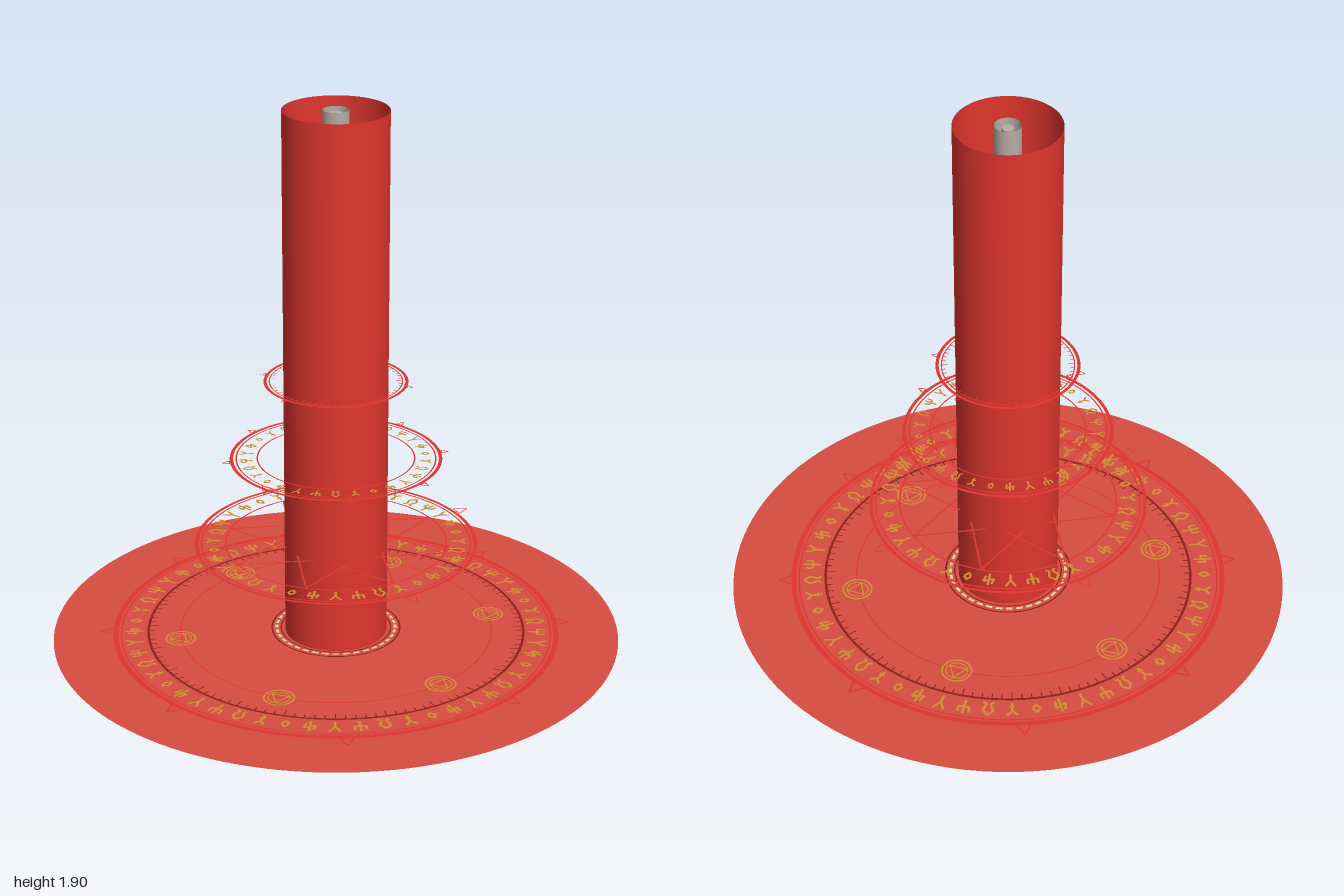
import * as THREE from 'three';
import { mergeGeometries } from 'three/addons/utils/BufferGeometryUtils.js';

const TAU = Math.PI * 2;
const mat = (name, color) => {
  const m = new THREE.MeshStandardMaterial({ color, side: THREE.DoubleSide });
  m.name = name;
  return m;
};

// Flat pieces are drawn in the XY plane and laid down at the end
const ring = (outer, width, cx = 0, cy = 0, seg = 96) =>
  new THREE.RingGeometry(outer - width, outer, seg).translate(cx, cy, 0);

const bar = (x1, y1, x2, y2, w) =>
  new THREE.PlaneGeometry(Math.hypot(x2 - x1, y2 - y1), w)
    .rotateZ(Math.atan2(y2 - y1, x2 - x1))
    .translate((x1 + x2) / 2, (y1 + y2) / 2, 0);

// Outlined polygon, or star when step > 1
function star(n, r, w, step = 1, rot = 0, cx = 0, cy = 0) {
  const p = (i) => [cx + r * Math.cos(rot + i * TAU / n), cy + r * Math.sin(rot + i * TAU / n)];
  return Array.from({ length: n }, (_, i) => bar(...p(i), ...p(i + step), w));
}

// Repeats pieces that point along +y around the centre
function around(n, r, make, offset = 0) {
  const out = [];
  for (let i = 0; i < n; i++) {
    const a = offset + i * TAU / n;
    for (const g of make(i)) out.push(g.translate(0, r, 0).rotateZ(a - Math.PI / 2));
  }
  return out;
}

const ticks = (n, r, len, w) => around(n, r, (i) => [bar(0, 0, 0, i % 5 ? -len : -len * 1.6, w)]);
const spikes = (n, r, h, w, offset) => around(n, r, () =>
  [bar(-h / 2, 0, 0, h, w), bar(h / 2, 0, 0, h, w), bar(-h / 2, 0, h / 2, 0, w)], offset);

// Six simple glyphs made of strokes inside a unit square
const strokes = [
  [[0, -.5, 0, 0], [0, 0, -.3, .5], [0, 0, .3, .5]],
  [[0, -.5, 0, .5], [-.3, .4, -.3, 0], [.3, .4, .3, 0], [-.3, 0, .3, 0]],
  [[-.3, -.5, -.1, -.4], [.3, -.5, .1, -.4], [-.1, -.4, -.28, .1], [.1, -.4, .28, .1], [-.28, .1, 0, .45], [.28, .1, 0, .45]],
  [[0, -.5, 0, .1], [0, .1, -.3, .4], [0, .1, .3, .4], [-.15, -.25, .15, -.25]],
  [[0, -.3, .2, 0], [.2, 0, 0, .3], [0, .3, -.2, 0], [-.2, 0, 0, -.3]],
  [[0, -.5, 0, .5], [-.3, -.1, .3, .2], [-.3, -.1, -.2, .35], [.3, .2, .2, -.3]],
];
const runes = (n, r, h) => around(n, r, (i) =>
  strokes[i % 6].map(([a, b, c, d]) => bar(a * h, b * h, c * h, d * h, h * 0.14)));

function plate(name, pieces, material, y) {
  const mesh = new THREE.Mesh(mergeGeometries(pieces).rotateX(-Math.PI / 2), material);
  mesh.name = name;
  mesh.position.y = y;
  return mesh;
}

function tube(name, r, h, material, open = true) {
  const mesh = new THREE.Mesh(new THREE.CylinderGeometry(r, r, h, 64, 1, open), material);
  mesh.name = name;
  mesh.position.y = h / 2;
  return mesh;
}

export function createModel() {
  const red = mat('red', 0xdf352d);
  const discRed = mat('softRed', 0xd84c42);
  const gold = mat('gold', 0xcf8a30);
  const cream = mat('cream', 0xe6d8a0);
  const grey = mat('grey', 0xb5aca4);
  const darkRed = mat('darkRed', 0x8a1f1a);

  const model = new THREE.Group();
  model.name = 'magicCircle';

  // Ground disc
  model.add(plate('groundDisc', [new THREE.CircleGeometry(1, 128)], discRed, 0));

  // Ground markings
  const ground = new THREE.Group();
  ground.name = 'groundMarkings';
  ground.add(
    plate('groundRings', [
      ring(0.79, 0.018), ring(0.765, 0.006), ring(0.555, 0.005),
      ...spikes(8, 0.785, 0.05, 0.007, 0.31),
    ], red, 0.003),
    plate('scaleRing', [ring(0.67, 0.009), ...ticks(120, 0.662, 0.02, 0.004)], darkRed, 0.004),
    plate('groundRunes', runes(54, 0.715, 0.065), gold, 0.004),
    plate('innerDashes', around(36, 0.21, () => [bar(-0.012, 0, 0.012, 0, 0.01)]), cream, 0.004),
    plate('innerRing', [ring(0.23, 0.006), ring(0.197, 0.005)], darkRed, 0.003),
  );

  // Six small medallions
  const medals = [];
  for (let i = 0; i < 6; i++) {
    const a = -0.349 + i * TAU / 6;
    const x = 0.555 * Math.cos(a), y = 0.555 * Math.sin(a);
    medals.push(ring(0.055, 0.007, x, y, 40), ring(0.04, 0.005, x, y, 40),
      ...star(3, 0.035, 0.005, 1, a, x, y));
  }
  ground.add(plate('medallions', medals, gold, 0.005));
  model.add(ground);

  // Floating rings, from large to small
  const lower = new THREE.Group();
  lower.name = 'lowerFloatingRing';
  lower.add(
    plate('lowerBands', [
      ring(0.495, 0.012), ring(0.475, 0.006), ring(0.39, 0.006),
      ...spikes(4, 0.5, 0.045, 0.004, 0),
      ...star(8, 0.385, 0.006, 3),
    ], red, 0.34),
    plate('lowerRunes', runes(36, 0.43, 0.06), gold, 0.34),
  );

  const middle = new THREE.Group();
  middle.name = 'middleFloatingRing';
  middle.add(
    plate('middleBands', [
      ring(0.368, 0.012), ring(0.348, 0.005), ring(0.275, 0.005),
      ...spikes(8, 0.37, 0.025, 0.004, TAU / 16),
    ], red, 0.66),
    plate('middleRunes', runes(30, 0.312, 0.045), gold, 0.66),
  );

  const upper = new THREE.Group();
  upper.name = 'upperFloatingRing';
  upper.add(plate('upperBands', [
    ring(0.248, 0.011), ring(0.23, 0.004), ...ticks(60, 0.228, 0.014, 0.003),
    ...spikes(6, 0.248, 0.02, 0.003, 0.3),
    ...star(7, 0.165, 0.005, 3), ...star(6, 0.11, 0.005, 2),
  ], red, 0.945));
  model.add(lower, middle, upper);

  // Light column with its narrow core
  model.add(
    tube('column', 0.18, 1.9, red),
    tube('coreTube', 0.045, 1.9, grey),
    tube('coreRod', 0.02, 1.89, grey, false),
  );
  return model;
}
